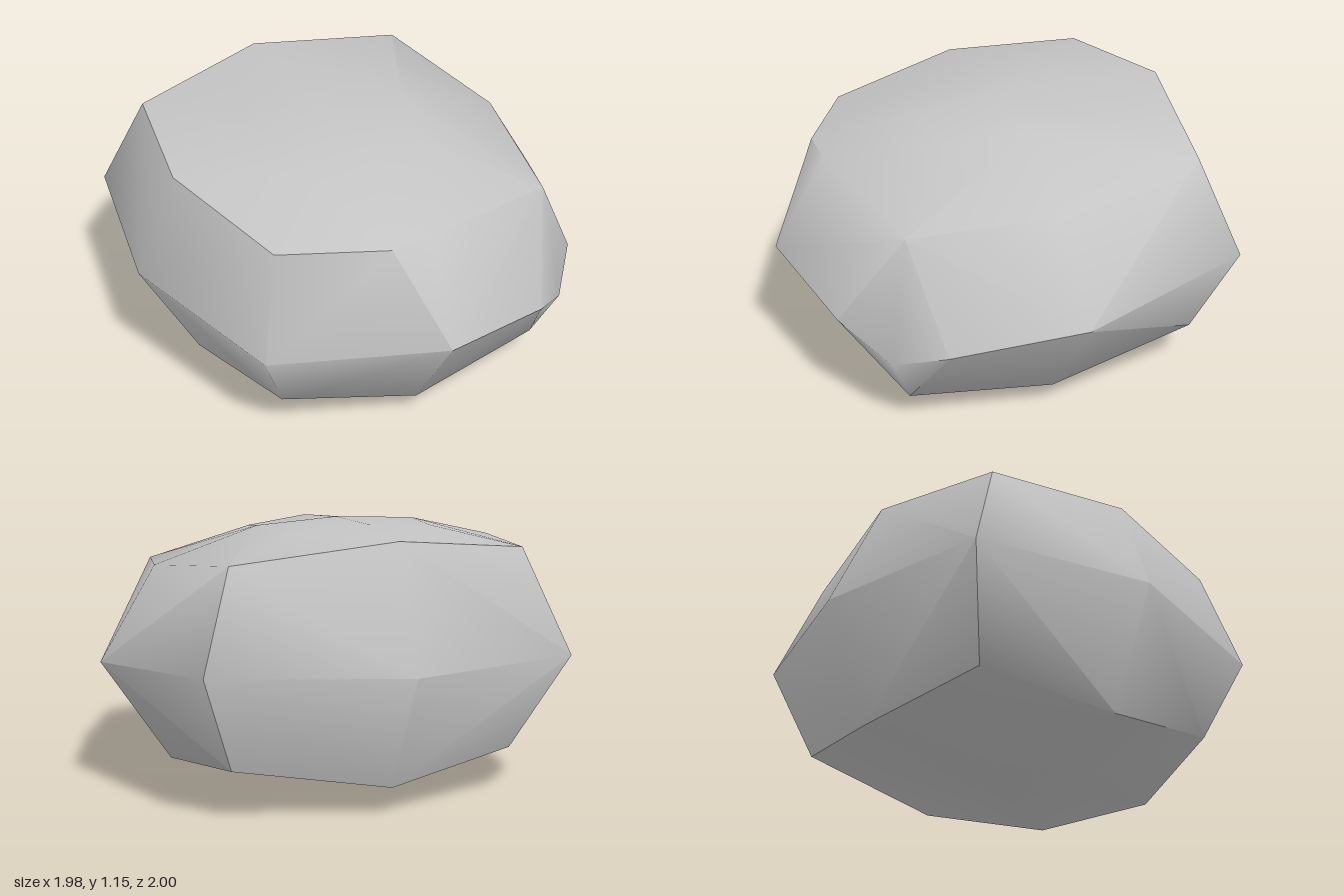
import * as THREE from 'three';

const P = (x, y, z) => new THREE.Vector3(x, y, z);

// Four rings running back, right, front, left; a shared point closes a chipped corner.
function ringsOfBoulder() {
  const capCorner = P(0.22, 1.08, 0.3), capFront = P(-0.07, 1.11, 0.36);
  const cap = [
    P(-0.1, 1.15, -0.37), P(0.22, 1.12, -0.33), P(0.28, 1.12, -0.02),
    capCorner, capCorner, capCorner, capFront, capFront,
    P(-0.36, 1.09, 0.27), P(-0.43, 1.13, -0.05), P(-0.4, 1.13, -0.32),
  ];
  const shoulderCorner = P(0.61, 0.91, 0.6);
  const shoulder = [
    P(-0.08, 1.13, -0.77), P(0.6, 1.05, -0.67), P(0.74, 0.97, -0.02),
    shoulderCorner, shoulderCorner, shoulderCorner,
    P(-0.04, 0.98, 0.77), P(-0.23, 0.98, 0.78),
    P(-0.64, 0.96, 0.56), P(-0.81, 1.04, -0.03), P(-0.7, 1.06, -0.62),
  ];
  const bellyFront = P(-0.07, 0.57, 1);
  const belly = [
    P(-0.07, 0.62, -1), P(0.75, 0.64, -0.82), P(0.99, 0.57, -0.05),
    P(0.85, 0.47, 0.5), P(0.68, 0.37, 0.69), P(0.46, 0.49, 0.86),
    bellyFront, bellyFront,
    P(-0.75, 0.53, 0.68), P(-0.99, 0.6, -0.05), P(-0.85, 0.62, -0.8),
  ];
  const footCorner = P(0.6, 0.14, 0.6), footFront = P(-0.05, 0.1, 0.7);
  const foot = [
    P(-0.05, 0.12, -0.79), P(0.6, 0.22, -0.68), P(0.68, 0.11, -0.01),
    footCorner, footCorner, footCorner, footFront, footFront,
    P(-0.62, 0.2, 0.55), P(-0.74, 0.12, -0.04), P(-0.65, 0.2, -0.64),
  ];
  return [cap, shoulder, belly, foot];
}

function boulderFaces() {
  const rings = ringsOfBoulder();
  const count = rings[0].length;
  const top = P(-0.08, 1.145, -0.03), bottom = P(0, 0, -0.05);
  const faces = [];

  // Skip the empty triangles at shared points; the normal's length is the face's weight
  const triangle = (a, b, c) => {
    if (a === b || b === c || c === a) return;
    const normal = b.clone().sub(a).cross(c.clone().sub(a));
    faces.push({ corners: [a, b, c], normal });
  };

  // Split each quad along the diagonal that bulges outward
  const quad = (a, b, c, d) => {
    const normal = b.clone().sub(a).cross(c.clone().sub(a));
    if (normal.dot(d.clone().sub(a)) <= 0) {
      triangle(a, b, c);
      triangle(a, c, d);
    } else {
      triangle(a, b, d);
      triangle(b, c, d);
    }
  };

  for (let i = 0; i < count; i++) {
    const j = (i + 1) % count;
    triangle(top, rings[0][j], rings[0][i]);
    for (let r = 0; r < rings.length - 1; r++) {
      quad(rings[r][i], rings[r][j], rings[r + 1][j], rings[r + 1][i]);
    }
    triangle(rings[3][i], rings[3][j], bottom);
  }
  return faces;
}

// Soft facets weighted by area, with only the hardest ridges kept sharp
function creasedGeometry(faces, creaseAngle) {
  const positions = [], normals = [];
  for (const face of faces) {
    for (const corner of face.corners) {
      const sum = new THREE.Vector3();
      for (const other of faces) {
        if (other.corners.includes(corner) && face.normal.angleTo(other.normal) < creaseAngle) {
          sum.add(other.normal);
        }
      }
      positions.push(...corner.toArray());
      normals.push(...sum.normalize().toArray());
    }
  }
  const geometry = new THREE.BufferGeometry();
  geometry.setAttribute('position', new THREE.Float32BufferAttribute(positions, 3));
  geometry.setAttribute('normal', new THREE.Float32BufferAttribute(normals, 3));
  return geometry;
}

export function createModel() {
  const group = new THREE.Group();
  group.name = 'boulder';
  const stone = new THREE.MeshStandardMaterial({ color: 0xc4c4c4 });
  stone.name = 'light grey stone';
  const rock = new THREE.Mesh(creasedGeometry(boulderFaces(), THREE.MathUtils.degToRad(51)), stone);
  rock.name = 'rock';
  group.add(rock);
  return group;
}
